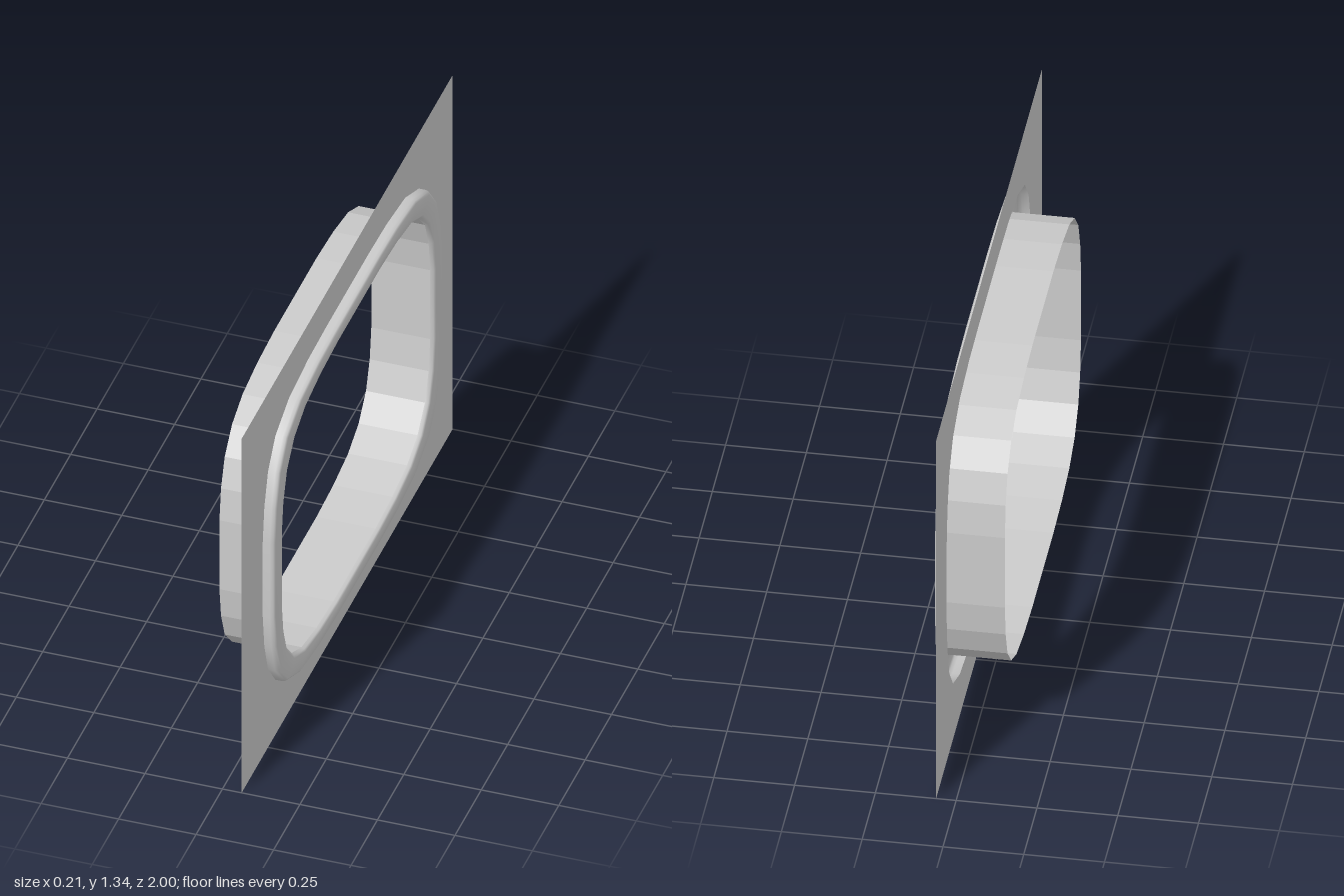
import * as THREE from 'three';

const CY = 0.667; // height of the opening's centre

// One quarter of the opening: [z, y] from the centre, inner and outer rim
const INNER = [[0.72, 0.13], [0.705, 0.24], [0.67, 0.335], [0.6, 0.41], [0.5, 0.455], [0.36, 0.478], [0.2, 0.488]];
const OUTER = [[0.8, 0.14], [0.785, 0.262], [0.75, 0.373], [0.68, 0.46], [0.55, 0.514], [0.37, 0.535], [0.2, 0.54]];

// Mirror a quarter into a closed counter-clockwise loop
function fullLoop(q) {
  const r = [...q].reverse();
  return [
    ...q,
    ...r.map(([z, y]) => [-z, y]),
    ...q.map(([z, y]) => [-z, -y]),
    ...r.map(([z, y]) => [z, -y]),
  ];
}
const innerLoop = fullLoop(INNER);
const outerLoop = fullLoop(OUTER);

// Sweep a profile of [x, t] round the opening; t = 0 inner rim, t = 1 outer rim
function sweep(profile) {
  const n = innerLoop.length, pos = [], index = [];
  for (const [x, t] of profile) {
    for (let i = 0; i < n; i++) {
      const [a, b] = [innerLoop[i], outerLoop[i]];
      pos.push(x, CY + a[1] + (b[1] - a[1]) * t, a[0] + (b[0] - a[0]) * t);
    }
  }
  for (let j = 0; j < profile.length - 1; j++) {
    for (let i = 0; i < n; i++) {
      const k = (i + 1) % n;
      const a = j * n + i, b = a + n, c = j * n + k, d = c + n;
      index.push(a, b, c, c, b, d);
    }
  }
  const g = new THREE.BufferGeometry();
  g.setAttribute('position', new THREE.Float32BufferAttribute(pos, 3));
  g.setIndex(index);
  g.computeVertexNormals();
  return g;
}

export function createModel() {
  const group = new THREE.Group();
  group.name = 'windowFrame';
  const smooth = new THREE.MeshStandardMaterial({ color: 0xcccccc, side: THREE.DoubleSide });
  const flat = new THREE.MeshStandardMaterial({ color: 0xcccccc, side: THREE.DoubleSide, flatShading: true });
  const add = (name, geometry, material) => {
    const mesh = new THREE.Mesh(geometry, material);
    mesh.name = name;
    group.add(mesh);
  };

  // Thin wall panel with the opening cut out
  const panel = new THREE.Shape([[-1, 0], [1, 0], [1, 1.335], [-1, 1.335]].map(([x, y]) => new THREE.Vector2(x, y)));
  panel.holes.push(new THREE.Path(outerLoop.map(([z, y]) => new THREE.Vector2(z, CY + y))));
  add('wallPanel', new THREE.ShapeGeometry(panel).rotateY(Math.PI / 2).translate(0.062, 0, 0), flat);

  // Raised rim with rounded edges, hollow behind
  add('rim', sweep([[0.062, 1], [0.085, 1], [0.095, 0.96], [0.1, 0.86], [0.102, 0.5], [0.1, 0.14], [0.095, 0.04], [0.085, 0]]), smooth);

  // Deep sleeve lining the opening
  add('sleeve', sweep([[0.085, 0], [-0.105, 0]]), flat);

  return group;
}
